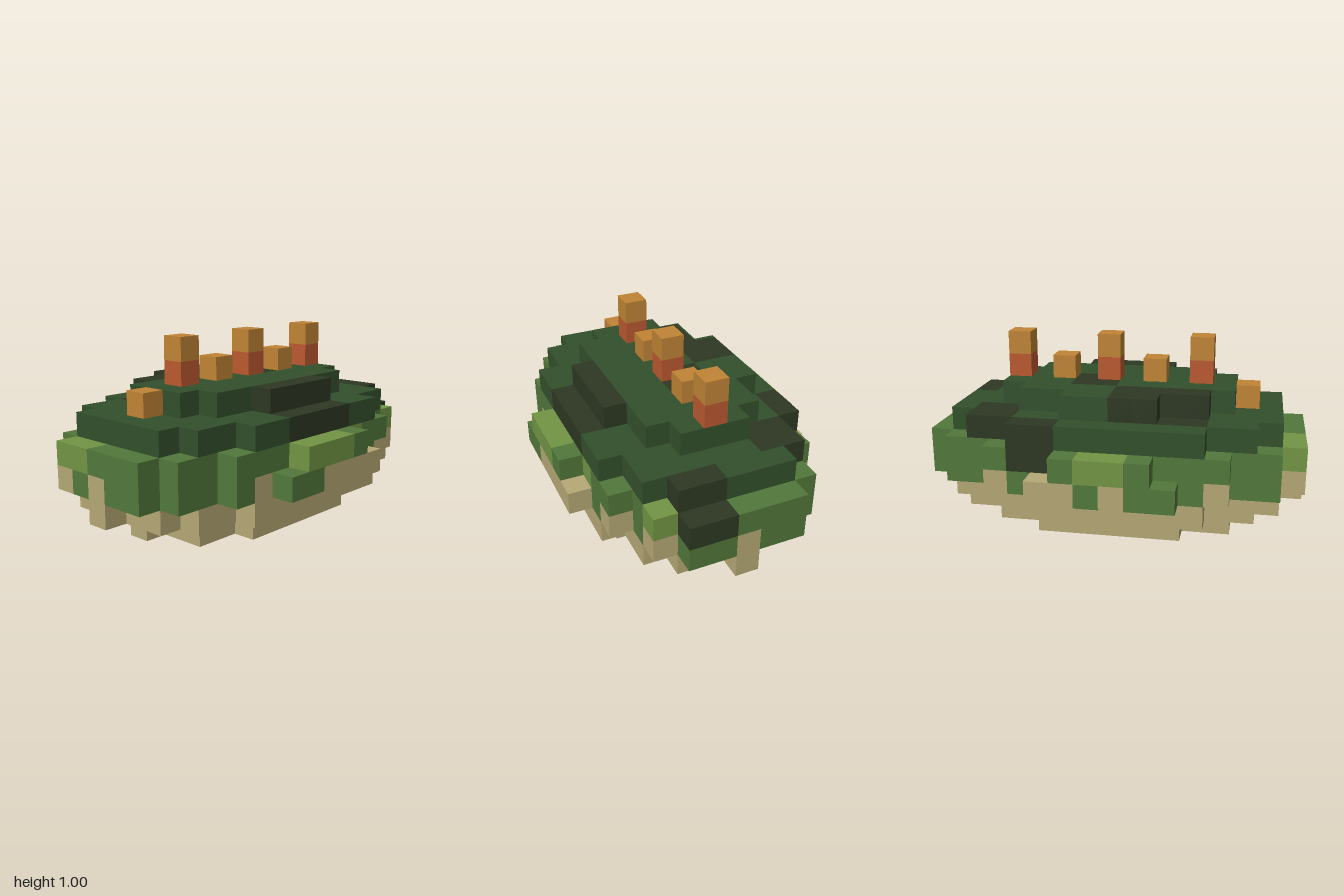
import * as THREE from 'three';
import { mergeGeometries } from 'three/addons/utils/BufferGeometryUtils.js';

const S = 0.125; // size of one block

const mat = (name, color) => {
  const m = new THREE.MeshStandardMaterial({ color });
  m.name = name;
  return m;
};

// Half-width in blocks of each row, from the middle outwards to either end
const LAYERS = [
  { name: 'bellyBottom', base: 'tan', rows: [3, 3, 3, 2, 2, 0] },
  { name: 'bellyUpper', base: 'tan', rows: [4, 4, 4, 4, 3, 3, 2, 0] },
  { name: 'lowerSide', base: 'green', rows: [5, 5, 5, 4, 4, 3, 3, 2] },
  { name: 'upperSide', base: 'green', rows: [5, 5, 4, 4, 4, 3, 3, 2] },
  { name: 'lowerBack', base: 'darkGreen', rows: [4, 4, 4, 4, 3, 3, 2] },
  { name: 'upperBack', base: 'darkGreen', rows: [3, 3, 2, 2, 1] },
];

// Blotches: colour, layer, x range, z range (inclusive block indices)
const BLOTCHES = [
  // ragged upper edge of the belly colour
  ['tan', 2, -4, -4, 4, 4], ['tan', 2, -2, -2, 7, 7], ['tan', 2, 0, 0, 7, 7],
  ['tan', 2, 4, 4, 3, 3], ['tan', 2, 4, 5, -3, 0], ['tan', 2, 4, 4, -5, -5],
  ['tan', 2, 3, 3, -7, -7], ['tan', 2, 0, 0, -8, -8],
  ['tan', 2, -5, -4, -3, -2], ['tan', 2, -5, -5, 0, 0], ['tan', 2, -4, -4, -5, -5],
  // light green
  ['lightGreen', 3, -2, -1, 7, 7], ['lightGreen', 3, 5, 5, -1, 1],
  ['lightGreen', 3, 4, 4, -3, -3], ['lightGreen', 3, 3, 3, -7, -7],
  ['lightGreen', 3, -5, -5, -1, 0],
  // deep green on the back and rear
  ['deepGreen', 3, 1, 2, -8, -8], ['deepGreen', 4, 1, 2, -7, -7],
  ['deepGreen', 3, -4, -4, -4, -3], ['deepGreen', 4, -4, -4, -4, -3],
  ['deepGreen', 4, -3, -2, -6, -5], ['deepGreen', 4, 4, 4, -2, 1],
  ['deepGreen', 5, 3, 3, -2, 1], ['deepGreen', 5, -1, 0, -2, -1],
  ['deepGreen', 5, -3, -2, 0, 3], ['deepGreen', 4, -3, -3, 2, 3],
];

// Directions of the six faces of a block
const SIDES = [[1, 0, 0], [-1, 0, 0], [0, 1, 0], [0, -1, 0], [0, 0, 1], [0, 0, -1]];

const filled = (x, y, z) => {
  const row = z < 0 ? -z - 1 : z;
  const half = LAYERS[y]?.rows[row];
  return half !== undefined && Math.abs(x) <= half;
};

const colourAt = (x, y, z) => {
  const b = BLOTCHES.find(([, l, x0, x1, z0, z1]) =>
    l === y && x >= x0 && x <= x1 && z >= z0 && z <= z1);
  return b ? b[0] : LAYERS[y].base;
};

function blockFace(x, y, z, [dx, dy, dz]) {
  const g = new THREE.PlaneGeometry(S, S).translate(0, 0, S / 2);
  if (dy) g.rotateX(-dy * Math.PI / 2);
  else g.rotateY(dx ? dx * Math.PI / 2 : dz < 0 ? Math.PI : 0);
  return g.translate(x * S, (y + 0.5) * S, (z + 0.5) * S);
}

export function createModel() {
  const model = new THREE.Group();
  model.name = 'spinyBody';
  const M = {
    tan: mat('tan', 0xb6a875),
    green: mat('green', 0x52783b),
    lightGreen: mat('lightGreen', 0x729544),
    darkGreen: mat('darkGreen', 0x33502c),
    deepGreen: mat('deepGreen', 0x2d3823),
    orange: mat('orange', 0xc08435),
    red: mat('red', 0xbb5930),
  };

  // Body: stacked layers, only outer faces, one mesh per colour
  LAYERS.forEach((layer, y) => {
    const group = new THREE.Group();
    group.name = layer.name;
    const faces = {};
    for (let z = -8; z < 8; z++) {
      for (let x = -5; x <= 5; x++) {
        if (!filled(x, y, z)) continue;
        const list = (faces[colourAt(x, y, z)] ??= []);
        for (const d of SIDES) {
          if (!filled(x + d[0], y + d[1], z + d[2])) list.push(blockFace(x, y, z, d));
        }
      }
    }
    for (const [colour, list] of Object.entries(faces)) {
      if (!list.length) continue;
      const mesh = new THREE.Mesh(mergeGeometries(list), M[colour]);
      mesh.name = `${layer.name} ${colour}`;
      group.add(mesh);
    }
    model.add(group);
  });

  // Spines along the back: tall ones have a red base
  const cube = new THREE.BoxGeometry(S, S, S);
  const addBlock = (parent, name, material, y, z) => {
    const mesh = new THREE.Mesh(cube, material);
    mesh.name = name;
    mesh.position.set(0, (y + 0.5) * S, (z + 0.5) * S);
    parent.add(mesh);
  };
  for (const [z, y, tall] of [[5, 5, 0], [3, 6, 1], [1, 6, 0], [-1, 6, 1], [-3, 6, 0], [-5, 6, 1]]) {
    const spine = new THREE.Group();
    spine.name = tall ? 'tallSpine' : 'shortSpine';
    if (tall) addBlock(spine, 'spineBase', M.red, y, z);
    addBlock(spine, 'spineTip', M.orange, y + tall, z);
    model.add(spine);
  }
  return model;
}
